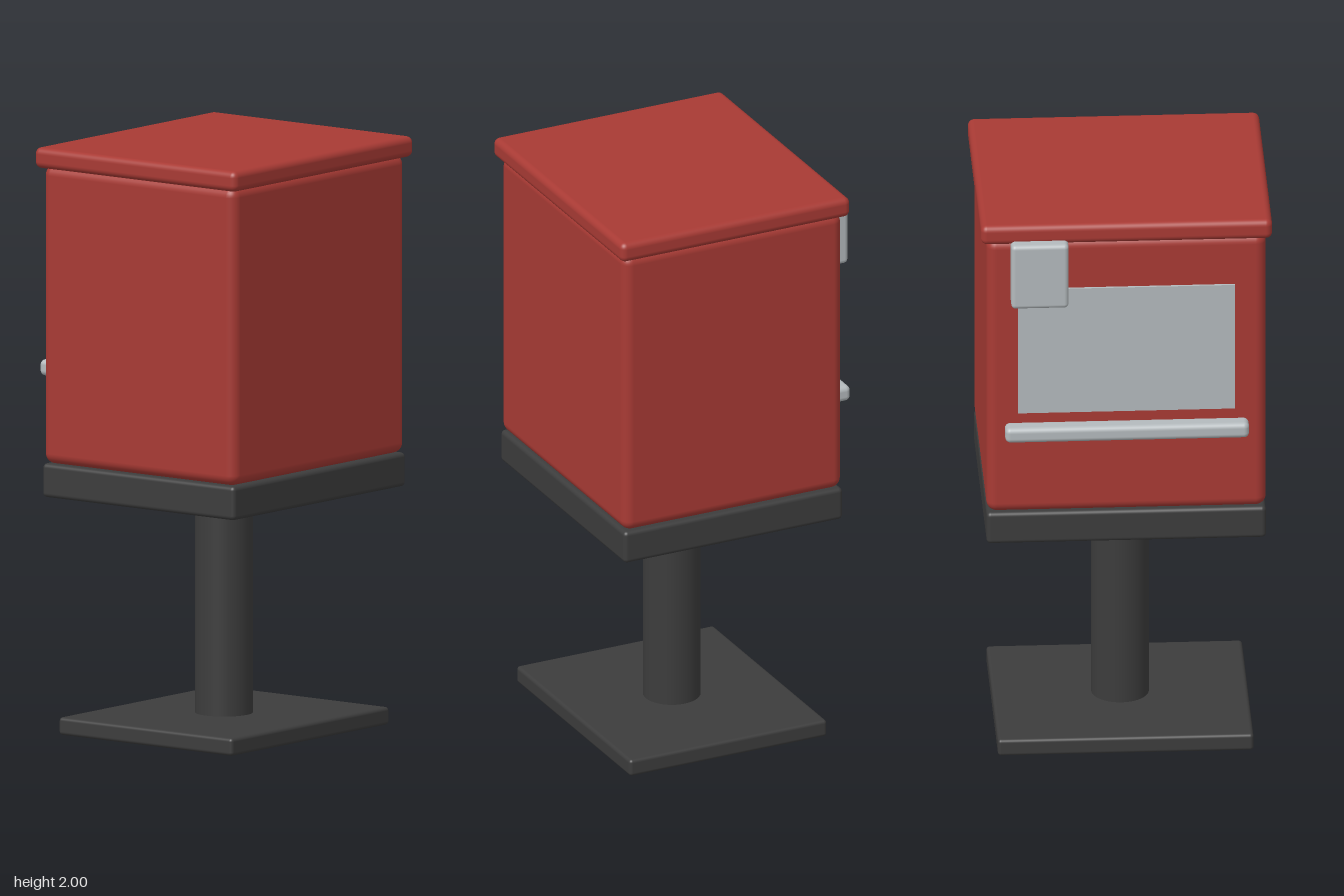
import * as THREE from 'three';
import { RoundedBoxGeometry } from 'three/addons/geometries/RoundedBoxGeometry.js';

export function createModel() {
  const model = new THREE.Group();
  model.name = 'pedestalBox';

  const material = (name, color) => {
    const m = new THREE.MeshStandardMaterial({ color });
    m.name = name;
    return m;
  };
  const red = material('red paint', 0xa83a34);
  const dark = material('dark metal', 0x3c3c3c);
  const silver = material('light metal', 0xb4babd);

  const add = (name, geometry, mat) => {
    const mesh = new THREE.Mesh(geometry, mat);
    mesh.name = name;
    model.add(mesh);
    return mesh;
  };

  // Rounded block spanning min to max on each axis
  const block = (name, mat, [x0, x1], [y0, y1], [z0, z1], radius) =>
    add(name, new RoundedBoxGeometry(x1 - x0, y1 - y0, z1 - z0, 4, radius), mat)
      .position.set((x0 + x1) / 2, (y0 + y1) / 2, (z0 + z1) / 2);

  // Stand: foot plate, round post and supporting tray
  block('footPlate', dark, [-0.43, 0.43], [0, 0.06], [-0.35, 0.39], 0.012);
  add('post', new THREE.CylinderGeometry(0.097, 0.097, 0.81, 40), dark).position.set(0, 0.415, 0.02);
  block('tray', dark, [-0.47, 0.47], [0.81, 0.925], [-0.39, 0.43], 0.015);

  // Cabinet with overhanging lid
  block('body', red, [-0.47, 0.47], [0.925, 1.94], [-0.39, 0.43], 0.035);
  block('lid', red, [-0.49, 0.49], [1.93, 2], [-0.41, 0.45], 0.022);

  // Back fittings: flat panel, pull bar and lock box
  add('panel', new THREE.BoxGeometry(0.73, 0.46, 0.009), silver).position.set(0, 1.53, -0.3945);
  block('handle', silver, [-0.41, 0.41], [1.21, 1.265], [-0.45, -0.385], 0.018);
  block('lockBox', silver, [0.197, 0.39], [1.71, 1.945], [-0.45, -0.385], 0.015);

  return model;
}
